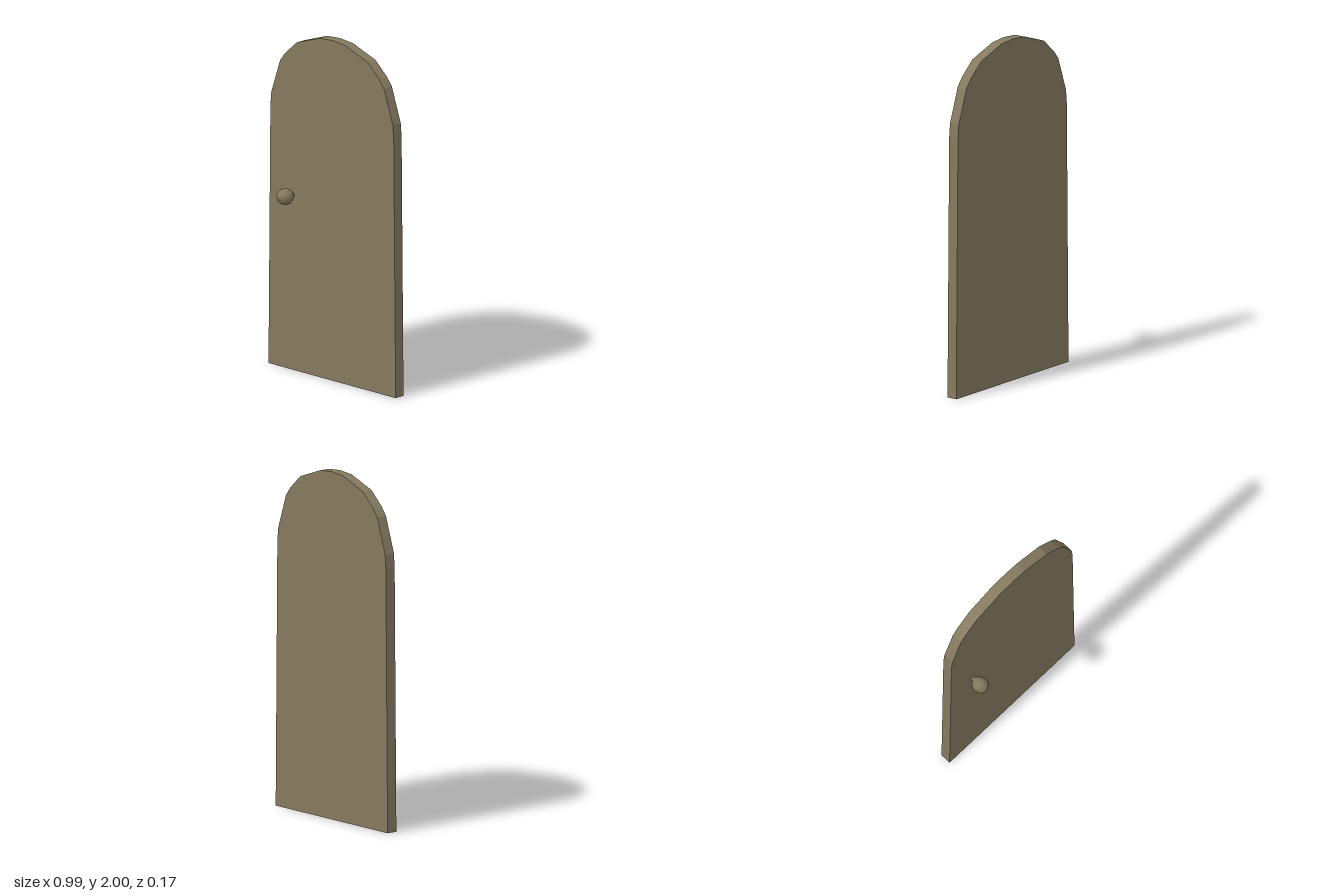
import * as THREE from 'three';

const wood = new THREE.MeshStandardMaterial({ color: 0x857a5f, flatShading: true });
const metal = new THREE.MeshStandardMaterial({ color: 0x857a5f });

const BACK = -0.088, FRONT = -0.024;

// Slightly tapered slab with a faceted round top
function createPanel() {
  const half = [[0.497, 0], [0.482, 1.52], [0.475, 1.6], [0.406, 1.8], [0.367, 1.85], [0.277, 1.93], [0.1, 1.992]];
  const right = half.map(([x, y]) => new THREE.Vector2(x, y));
  const left = half.map(([x, y]) => new THREE.Vector2(-x, y)).reverse();
  const shape = new THREE.Shape([...right, new THREE.Vector2(0, 2), ...left]);
  const geometry = new THREE.ExtrudeGeometry(shape, { depth: FRONT - BACK, bevelEnabled: false });
  const panel = new THREE.Mesh(geometry, wood);
  panel.name = 'doorPanel';
  panel.position.z = BACK;
  return panel;
}

// Eight-sided knob turned together with its neck, pointing forward
function createKnob() {
  const profile = [[0.016, 0], [0.016, 0.008], [0.036, 0.024], [0.05, 0.058], [0.036, 0.093], [0, 0.107]]
    .map(([r, z]) => new THREE.Vector2(r, z));
  const geometry = new THREE.LatheGeometry(profile, 8);
  geometry.rotateX(Math.PI / 2);
  const knob = new THREE.Mesh(geometry, metal);
  knob.name = 'doorKnob';
  knob.position.set(-0.31, 1.03, FRONT);
  return knob;
}

export function createModel() {
  const door = new THREE.Group();
  door.name = 'door';
  door.add(createPanel(), createKnob());
  return door;
}
